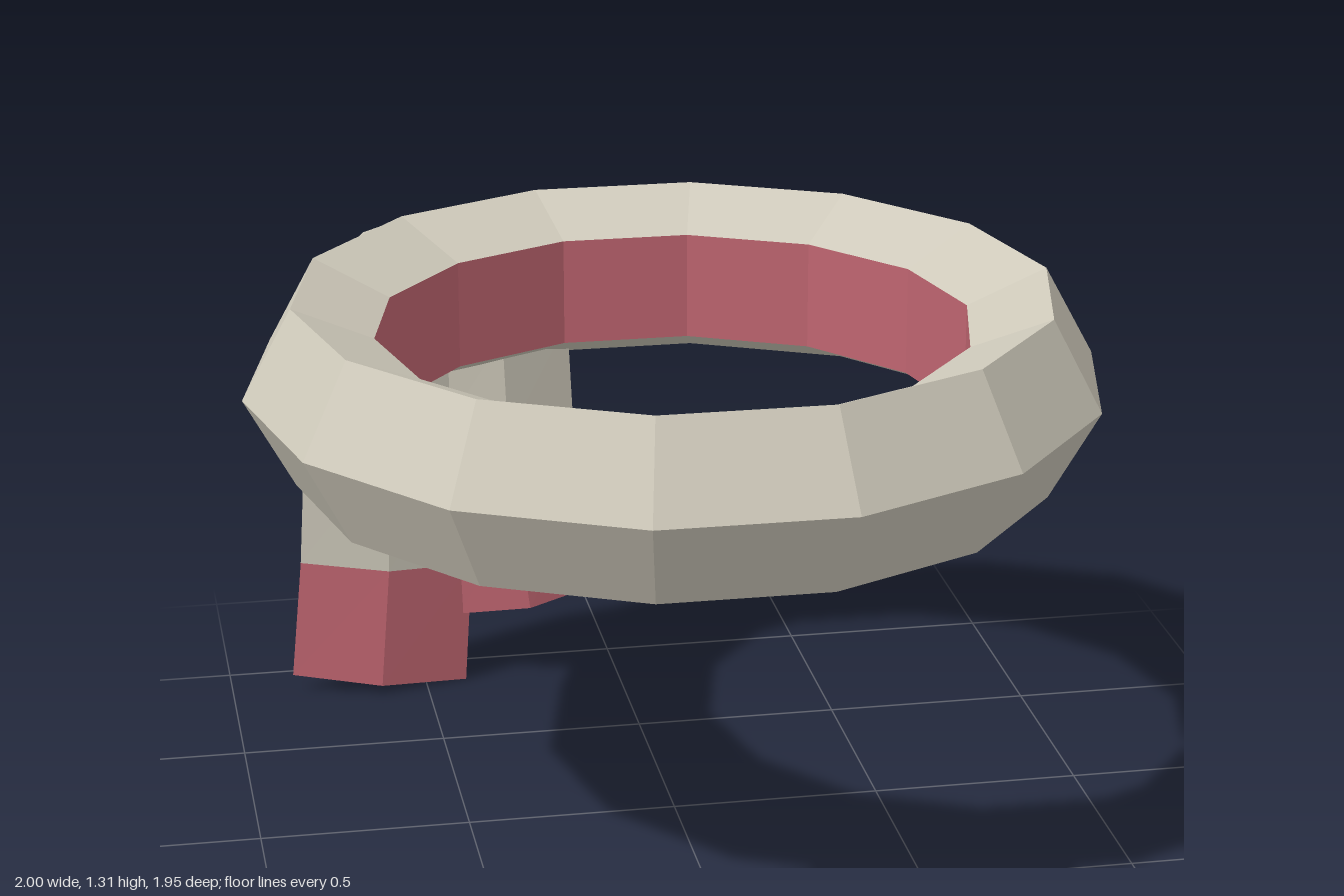
import * as THREE from 'three';

export function createModel() {
  const model = new THREE.Group();
  const wool = new THREE.MeshStandardMaterial({ color: 0xcfcabb });
  wool.name = 'cream wool';
  const red = new THREE.MeshStandardMaterial({ color: 0xbf6570 });
  red.name = 'muted red';

  const add = (name, geometry, material, parent = model) => {
    const mesh = new THREE.Mesh(geometry, material);
    mesh.name = name;
    parent.add(mesh);
    return mesh;
  };
  const facet = (geometry) => {
    const flat = geometry.index ? geometry.toNonIndexed() : geometry;
    flat.computeVertexNormals();
    return flat;
  };

  // Neck loop: pentagon section swept round 14 sides, with a red inner wall
  const section = (k) => {
    const a = (k * Math.PI * 2) / 5;
    return new THREE.Vector2(0.831 + 0.169 * Math.cos(a), 1.104 + 0.2235 * Math.sin(a));
  };
  const sweep = (steps) =>
    facet(new THREE.LatheGeometry(steps.map(section), 14, Math.PI / 2));
  add('neckLoop', sweep([-2, -1, 0, 1, 2]), wool);
  add('neckLoopLining', sweep([2, 3]), red);

  // Knot at the back of the loop, flattened against it
  const knot = add('knot', new THREE.SphereGeometry(0.168, 7, 5), wool);
  knot.scale.z = 0.72;
  knot.rotation.y = Math.PI + Math.atan2(0.58, 0.77);
  knot.position.set(-0.575, 1.11, -0.765);

  // Tails: flat diamond sections, each [xLeft, yLeft, xRight, yRight, z, halfDepth]
  const ring = ([x0, y0, x1, y1, z, h]) => {
    const mx = (x0 + x1) / 2, my = (y0 + y1) / 2;
    return [[x0, y0, z], [mx, my, z + h], [x1, y1, z], [mx, my, z - h]];
  };
  const loft = (sections, capTop, capBottom) => {
    const rings = sections.map(ring);
    const out = [];
    const quad = (a, b, c, d) => out.push(...a, ...b, ...c, ...a, ...c, ...d);
    for (let s = 0; s < rings.length - 1; s++) {
      const t = rings[s], b = rings[s + 1];
      for (let i = 0; i < 4; i++) {
        const j = (i + 1) % 4;
        quad(b[i], b[j], t[j], t[i]);
      }
    }
    if (capTop) quad(...rings[0]);
    if (capBottom) quad(...[...rings[rings.length - 1]].reverse());
    const g = new THREE.BufferGeometry();
    g.setAttribute('position', new THREE.Float32BufferAttribute(out, 3));
    return facet(g);
  };
  const capOnly = (s) => {
    const [l, f, r, b] = ring(s);
    const g = new THREE.BufferGeometry();
    g.setAttribute('position', new THREE.Float32BufferAttribute([...l, ...b, ...r, ...l, ...r, ...f], 3));
    return facet(g);
  };

  const tails = {
    longTail: [
      [-0.79, 0.98, -0.385, 0.96, -0.822, 0.053],
      [-0.797, 0.68, -0.38, 0.66, -0.842, 0.055],
      [-0.815, 0.36, -0.375, 0.328, -0.86, 0.058],
      [-0.845, 0.048, -0.395, 0.003, -0.867, 0.06],
    ],
    shortTail: [
      [-0.47, 0.95, -0.125, 0.98, -0.822, 0.053],
      [-0.46, 0.68, -0.11, 0.71, -0.84, 0.055],
      [-0.44, 0.45, -0.09, 0.49, -0.856, 0.057],
      [-0.41, 0.19, -0.055, 0.243, -0.862, 0.06],
    ],
  };
  for (const [name, s] of Object.entries(tails)) {
    const tail = new THREE.Group();
    tail.name = name;
    model.add(tail);
    add('cloth', loft(s.slice(0, 3), true, false), wool, tail);
    add('endBand', loft(s.slice(2), false, false), red, tail);
    add('endCap', capOnly(s[3]), wool, tail);
  }
  return model;
}
